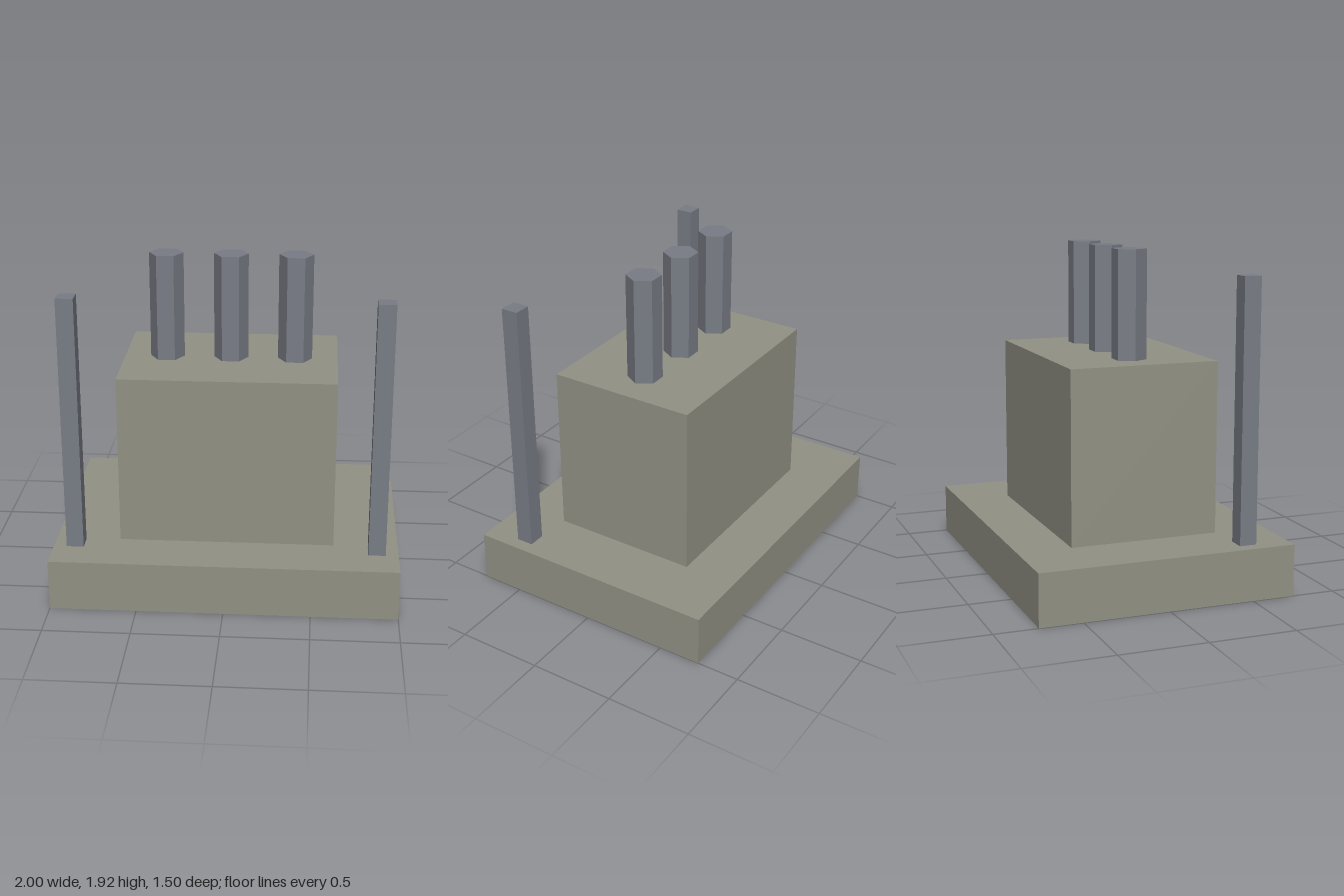
import * as THREE from 'three';

export function createModel() {
  const model = new THREE.Group();
  const stone = new THREE.MeshStandardMaterial({ name: 'stone', color: 0x929184 });
  const steel = new THREE.MeshStandardMaterial({ name: 'steel', color: 0x787c85 });

  // Places a part with its underside at the given height
  function add(name, geometry, material, x, bottom, z = 0) {
    const mesh = new THREE.Mesh(geometry, material);
    mesh.name = name;
    mesh.position.set(x, bottom + geometry.parameters.height / 2, z);
    model.add(mesh);
  }

  // Stepped body
  add('base', new THREE.BoxGeometry(2, 0.3, 1.5), stone, 0, 0);
  add('block', new THREE.BoxGeometry(1.25, 1, 0.875), stone, 0, 0.3);

  // Row of hexagonal stacks, corners pointing sideways
  const hexagon = new THREE.CylinderGeometry(0.1, 0.1, 0.625, 6, 1, false, Math.PI / 6).toNonIndexed();
  hexagon.computeVertexNormals();
  hexagon.parameters = { height: 0.625 };
  ['rightStack', 'middleStack', 'leftStack'].forEach((name, i) => {
    add(name, hexagon, steel, (i - 1) * 0.375, 1.3);
  });

  // Square posts at the front corners
  const post = new THREE.BoxGeometry(0.1, 1.5, 0.1);
  add('rightPost', post, steel, -0.875, 0.3, 0.5);
  add('leftPost', post, steel, 0.875, 0.3, 0.5);

  return model;
}
